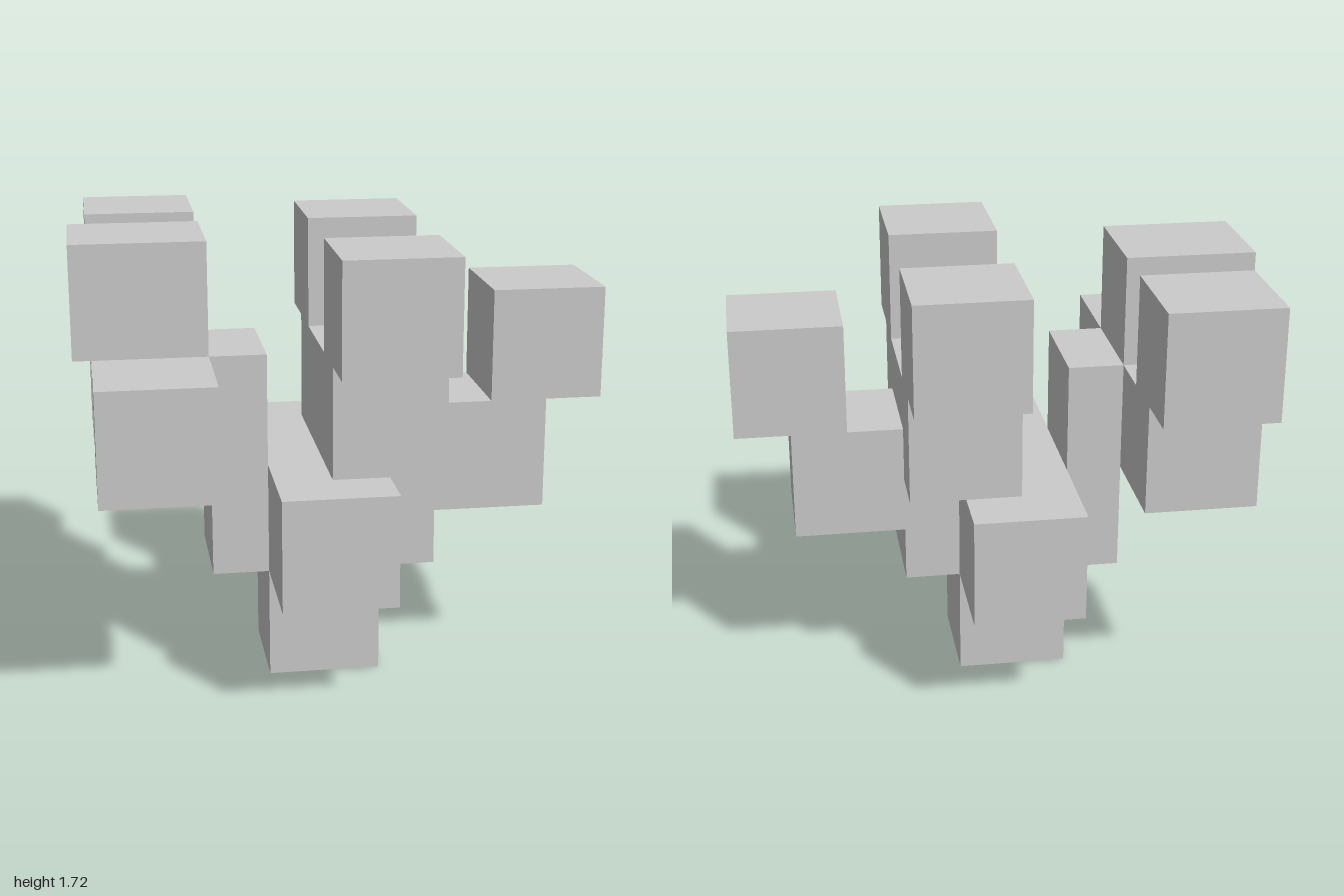
import * as THREE from 'three';

// Half a cube edge; every block snaps to this lattice
const H = 0.2145;
const ORIGIN = new THREE.Vector3(-0.287, 0, -0.108);

export function createModel() {
  const model = new THREE.Group();
  model.name = 'branchingCubes';
  const material = new THREE.MeshStandardMaterial({ color: 0xcccccc, flatShading: true });

  // Block from its lowest lattice corner and its size in half-edges
  function block(name, x, y, z, w = 2, h = 2, d = 2) {
    const mesh = new THREE.Mesh(new THREE.BoxGeometry(w * H, h * H, d * H), material);
    mesh.name = name;
    mesh.position.set(x + w / 2, y + h / 2, z + d / 2).multiplyScalar(H).add(ORIGIN);
    model.add(mesh);
  }

  // Trunk and the bar across it
  block('baseCube', 0, 0, 0);
  block('crossBar', -1, 2, 0, 4, 2, 2);

  // Middle branch: side cubes, bridge and upper cubes, front and back
  block('bridge', 1, 4, -1, 2, 2, 4);
  for (const [side, z] of [['front', 2], ['back', -2]]) {
    block(side + 'LowerCube', 0, 2, z);
    block(side + 'UpperCube', 1, 6, z);
  }

  // Branch stepping out toward +x
  block('leftArmCube', 3, 3, 0);
  block('leftTipCube', 4, 5, 0);

  // Branch spreading toward -x
  block('rightArmCube', -2, 4, 0);
  block('rightFrontCube', -3, 4, 2);
  block('rightBackCube', -3, 4, -2);
  block('rightBackTopCube', -3, 6, -3);
  block('rightTopBlock', -3.324, 6, 0, 2.324, 2, 2);

  return model;
}
